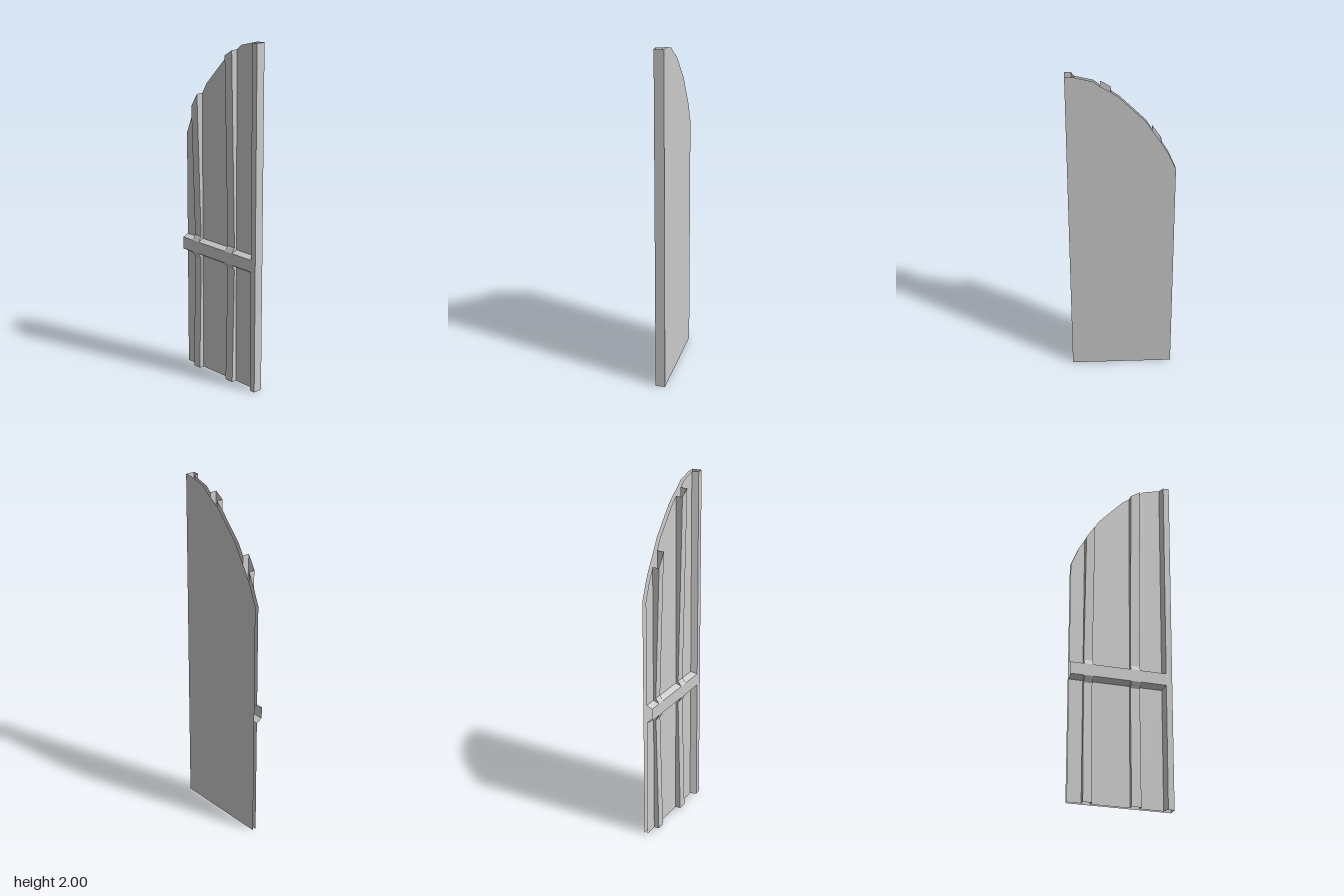
import * as THREE from 'three';

// Arched top edge, from the low outer side to the tall post
const ARCH = [[-0.295, 1.41], [-0.25, 1.52], [-0.21, 1.59], [-0.165, 1.66], [-0.13, 1.72], [0.01, 1.87],
  [0.055, 1.905], [0.11, 1.94], [0.145, 1.97], [0.245, 1.997], [0.295, 2]];
const LEFT = -0.295, RIGHT = 0.295;
const BACK = -0.03, PANEL = -0.01, FRONT = 0.025;      // depth layers
const BEVEL = [0.245, 0.26];                           // post bevel, panel side to post side
const BAR = { low: 0.70, frontLow: 0.72, frontHigh: 0.79, high: 0.805 };
const BATTENS = [[-0.215, -0.165], [0.055, 0.11]];
const BATTEN_AT_BAR = 0.005, BATTEN_TOP = 0.03, BATTEN_FOOT = 0.02;
const BATTEN_LOW = 0.685, BATTEN_HIGH = 0.82;

const material = new THREE.MeshStandardMaterial({ color: 0xcccccc, flatShading: true, side: THREE.DoubleSide });

function archY(x) {
  for (let i = 1; i < ARCH.length; i++) {
    const [x0, y0] = ARCH[i - 1], [x1, y1] = ARCH[i];
    if (x <= x1) return y0 + (y1 - y0) * (x - x0) / (x1 - x0);
  }
  return 2;
}

export function createModel() {
  const group = new THREE.Group();

  const add = (name, geometry) => {
    const mesh = new THREE.Mesh(geometry, material);
    mesh.name = name;
    group.add(mesh);
  };

  // Flat four-cornered face, corners counter-clockwise from outside
  const quad = (name, a, b, c, d) => {
    const g = new THREE.BufferGeometry();
    g.setAttribute('position', new THREE.Float32BufferAttribute([a, b, c, d].flat(), 3));
    g.setIndex([0, 1, 2, 0, 2, 3]);
    g.computeVertexNormals();
    add(name, g);
  };

  // Upright face from y0 to y1 (or up to the arch), with depth given by zAt(y)
  const face = (name, x0, x1, y0, y1, zAt, facesBack = false) => {
    const top = y1 === null
      ? [[x1, archY(x1)], ...ARCH.filter(([x]) => x > x0 + 1e-4 && x < x1 - 1e-4).reverse(), [x0, archY(x0)]]
      : [[x1, y1], [x0, y1]];
    const shape = new THREE.Shape([[x0, y0], [x1, y0], ...top].map(([x, y]) => new THREE.Vector2(x, y)));
    const g = new THREE.ShapeGeometry(shape);
    const p = g.attributes.position;
    for (let i = 0; i < p.count; i++) p.setZ(i, zAt(p.getY(i)));
    if (facesBack) g.index.array.reverse();
    g.computeVertexNormals();
    add(name, g);
  };

  // Back sheet
  face('backPanel', LEFT, RIGHT, 0, null, () => BACK, true);

  // Front boards between the battens, with the sloped edges of the crossbar
  const edges = [LEFT, ...BATTENS.flat(), BEVEL[0]];
  for (let i = 0; i < edges.length; i += 2) {
    const x0 = edges[i], x1 = edges[i + 1];
    const xf = x1 === BEVEL[0] ? BEVEL[1] : x1;
    face('upperBoard', x0, x1, BAR.high, null, () => PANEL);
    face('lowerBoard', x0, x1, 0, BAR.low, () => PANEL);
    quad('crossbarTop', [x0, BAR.frontHigh, FRONT], [xf, BAR.frontHigh, FRONT],
      [x1, BAR.high, PANEL], [x0, BAR.high, PANEL]);
    quad('crossbarUnderside', [x0, BAR.low, PANEL], [x1, BAR.low, PANEL],
      [xf, BAR.frontLow, FRONT], [x0, BAR.frontLow, FRONT]);
  }
  face('crossbarFront', LEFT, BEVEL[1], BAR.frontLow, BAR.frontHigh, () => FRONT);

  // Hollow battens leaning outward away from the crossbar
  for (const [x0, x1] of BATTENS) {
    const rise = (BATTEN_TOP - BATTEN_AT_BAR) / (archY((x0 + x1) / 2) - BATTEN_HIGH);
    const upperZ = y => BATTEN_AT_BAR + rise * (y - BATTEN_HIGH);
    const lowerZ = y => BATTEN_FOOT + (BATTEN_AT_BAR - BATTEN_FOOT) * y / BATTEN_LOW;
    face('upperBatten', x0, x1, BATTEN_HIGH, null, upperZ);
    face('lowerBatten', x0, x1, 0, BATTEN_LOW, lowerZ);
    quad('battenBevelTop', [x0, BAR.frontHigh, FRONT], [x1, BAR.frontHigh, FRONT],
      [x1, BATTEN_HIGH, BATTEN_AT_BAR], [x0, BATTEN_HIGH, BATTEN_AT_BAR]);
    quad('battenBevelUnderside', [x0, BATTEN_LOW, BATTEN_AT_BAR], [x1, BATTEN_LOW, BATTEN_AT_BAR],
      [x1, BAR.frontLow, FRONT], [x0, BAR.frontLow, FRONT]);
    for (const x of [x0, x1]) {
      const side = (name, ...c) => quad(name, ...(x === x0 ? c : c.reverse()));
      const top = archY(x);
      side('upperBattenSide', [x, BAR.high, PANEL], [x, BATTEN_HIGH, BATTEN_AT_BAR], [x, top, upperZ(top)], [x, top, PANEL]);
      side('lowerBattenSide', [x, 0, PANEL], [x, 0, lowerZ(0)], [x, BATTEN_LOW, BATTEN_AT_BAR], [x, BAR.low, PANEL]);
      // Small cheeks where the batten meets the crossbar
      side('upperCheek', [x, BAR.high, PANEL], [x, BAR.frontHigh, FRONT],
        [x, BATTEN_HIGH, BATTEN_AT_BAR], [x, BAR.high, PANEL]);
      side('lowerCheek', [x, BAR.low, PANEL], [x, BATTEN_LOW, BATTEN_AT_BAR],
        [x, BAR.frontLow, FRONT], [x, BAR.low, PANEL]);
    }
  }

  // Tall edge post with a sloped inner face
  face('postFront', BEVEL[1], RIGHT, 0, null, () => FRONT);
  quad('postSide', [RIGHT, 0, FRONT], [RIGHT, 0, BACK], [RIGHT, 2, BACK], [RIGHT, 2, FRONT]);
  const [b0, b1] = BEVEL;
  quad('postBevelUpper', [b0, BAR.high, PANEL], [b1, BAR.frontHigh, FRONT],
    [b1, archY(b1), FRONT], [b0, archY(b0), PANEL]);
  quad('postBevelLower', [b0, 0, PANEL], [b1, 0, FRONT], [b1, BAR.frontLow, FRONT], [b0, BAR.low, PANEL]);

  return group;
}
